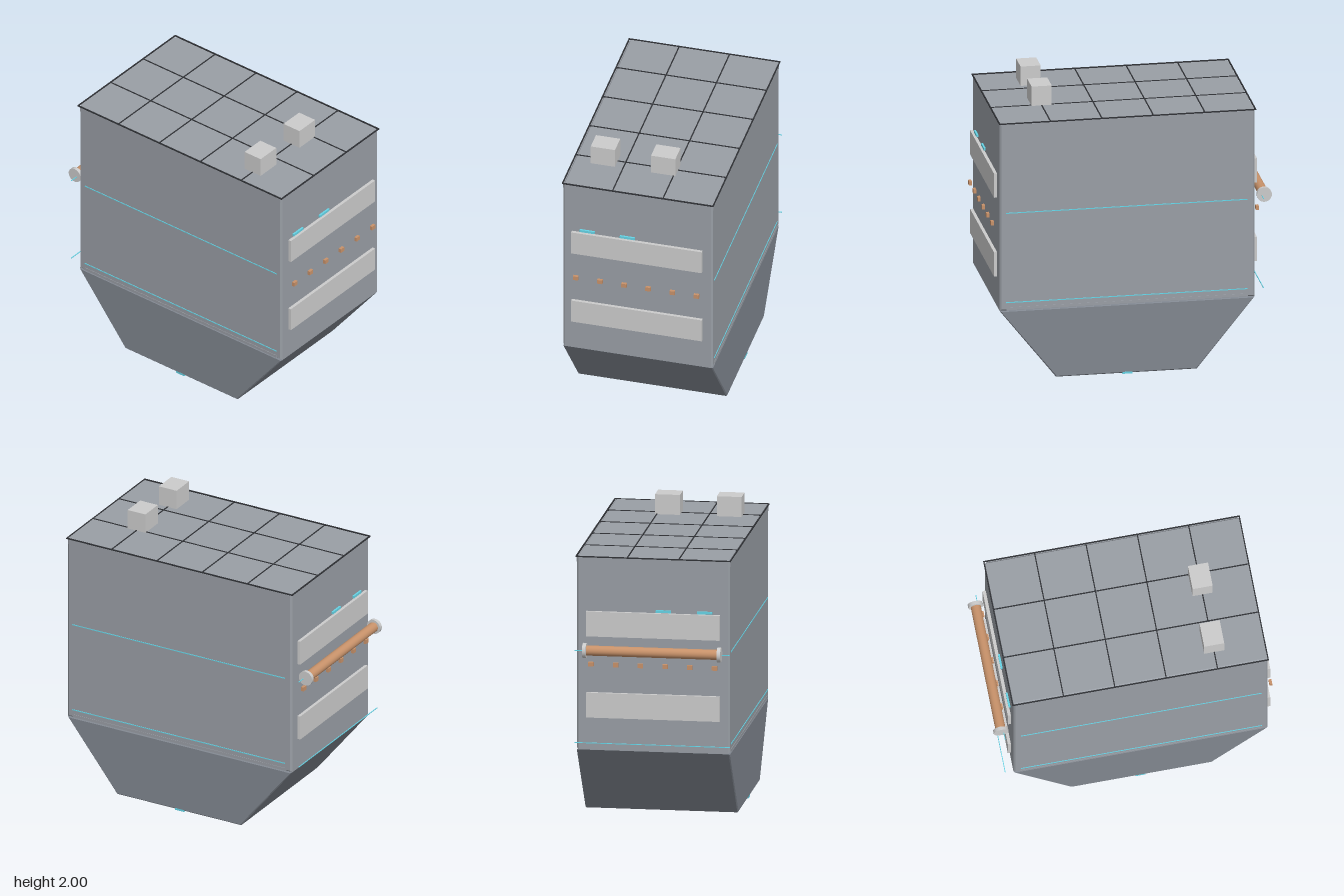
import * as THREE from 'three';

const CZ = 0.045; // hull centre along z

export function createModel() {
  const root = new THREE.Group();
  const mat = (color) => new THREE.MeshStandardMaterial({ color });
  const grey = mat(0xcccccc), hullMat = mat(0x999ea5), hopperMat = mat(0x80868f);
  const seamMat = mat(0x303236), glow = mat(0x66d4e6), copper = mat(0xc8926a);

  const add = (name, geo, material, x = 0, y = 0, z = 0, parent = root) => {
    const m = new THREE.Mesh(geo, material);
    m.name = name;
    m.position.set(x, y, z);
    parent.add(m);
    return m;
  };
  const box = (name, material, w, h, d, x, y, z, parent) =>
    add(name, new THREE.BoxGeometry(w, h, d), material, x, y, z, parent);

  // Prism extruded along x from a z,y outline, with small bevelled edges
  const prism = (points, width, bevel) => {
    const shape = new THREE.Shape(points.map(([z, y]) => new THREE.Vector2(-z, y)));
    const geo = new THREE.ExtrudeGeometry(shape, {
      depth: width - 2 * bevel, bevelEnabled: true, bevelSegments: 1,
      bevelSize: bevel, bevelThickness: bevel, bevelOffset: -bevel,
    });
    geo.translate(0, 0, -width / 2 + bevel);
    geo.rotateY(Math.PI / 2);
    return geo;
  };

  // Upper hull and tapered hopper
  add('hull', prism([[0.931, 0.505], [-0.841, 0.505], [-0.841, 1.86], [0.931, 1.86]], 1.06, 0.012), hullMat);
  add('hopper', prism([[0.54, 0.005], [-0.44, 0.005], [-0.841, 0.503], [0.931, 0.503]], 1.06, 0.008), hopperMat);
  box('hopperFloorStrip', glow, 1.062, 0.014, 0.07, 0, 0.007, 0.043);

  // Top seam grid: three by five tiles with a border
  const seams = new THREE.Group();
  seams.name = 'roofSeams';
  root.add(seams);
  for (let i = 0; i <= 3; i++) {
    const x = THREE.MathUtils.clamp((i - 1.5) * 0.357, -0.533, 0.533);
    box('lengthwiseSeam', seamMat, 0.008, 0.008, 1.788, x, 1.86, 0.0425, seams);
  }
  for (let i = 0; i <= 5; i++) {
    const z = 0.0425 + THREE.MathUtils.clamp((i - 2.5) * 0.358, -0.89, 0.89);
    box('crosswiseSeam', seamMat, 1.07, 0.008, 0.008, 0, 1.86, z, seams);
  }

  // Roof blocks
  for (const x of [-0.322, 0.105]) box('roofBlock', grey, 0.172, 0.142, 0.14, x, 1.929, 0.58);

  // Side trim and light lines, mirrored left and right
  for (const s of [-1, 1]) {
    box('topSideTrim', hullMat, 0.008, 0.035, 1.75, s * 0.529, 1.836, CZ);
    box('bottomSideTrim', hullMat, 0.008, 0.02, 1.68, s * 0.529, 0.52, CZ);
    for (const y of [0.565, 1.212]) box('sideLightLine', glow, 0.006, 0.006, 1.68, s * 0.531, y, 0.05);
  }

  // Both ends carry panels, lamps and a row of studs
  for (const s of [-1, 1]) {
    const end = new THREE.Group();
    end.name = s > 0 ? 'frontFittings' : 'backFittings';
    end.position.z = CZ;
    root.add(end);
    for (const y of [0.823, 1.393]) box('endPanel', grey, 0.925, 0.175, 0.022, -0.002, y, s * 0.904, end);
    for (const x of [-0.357, -0.072]) box('lamp', glow, 0.105, 0.017, 0.014, x, 1.492, s * 0.892, end);
    for (let i = 0; i < 6; i++) {
      box('stud', copper, 0.036, 0.03, 0.02, -0.43 + i * 0.171, 1.113, s * 0.922, end);
    }
  }

  // Roller with end caps on the back
  const roller = new THREE.Group();
  roller.name = 'backRoller';
  roller.position.set(-0.004, 1.218, -0.919);
  root.add(roller);
  const disc = (name, r, len, material, x) =>
    add(name, new THREE.CylinderGeometry(r, r, len, 32), material, x, 0, 0, roller).rotateZ(Math.PI / 2);
  disc('rollerBar', 0.035, 0.92, copper, 0);
  for (const s of [-1, 1]) disc('rollerCap', 0.052, 0.025, grey, s * 0.466);

  // Thin rods behind the back wall
  for (const y of [0.565, 1.212]) box('backRod', glow, 1.075, 0.005, 0.005, -0.002, y, -0.902);

  return root;
}
